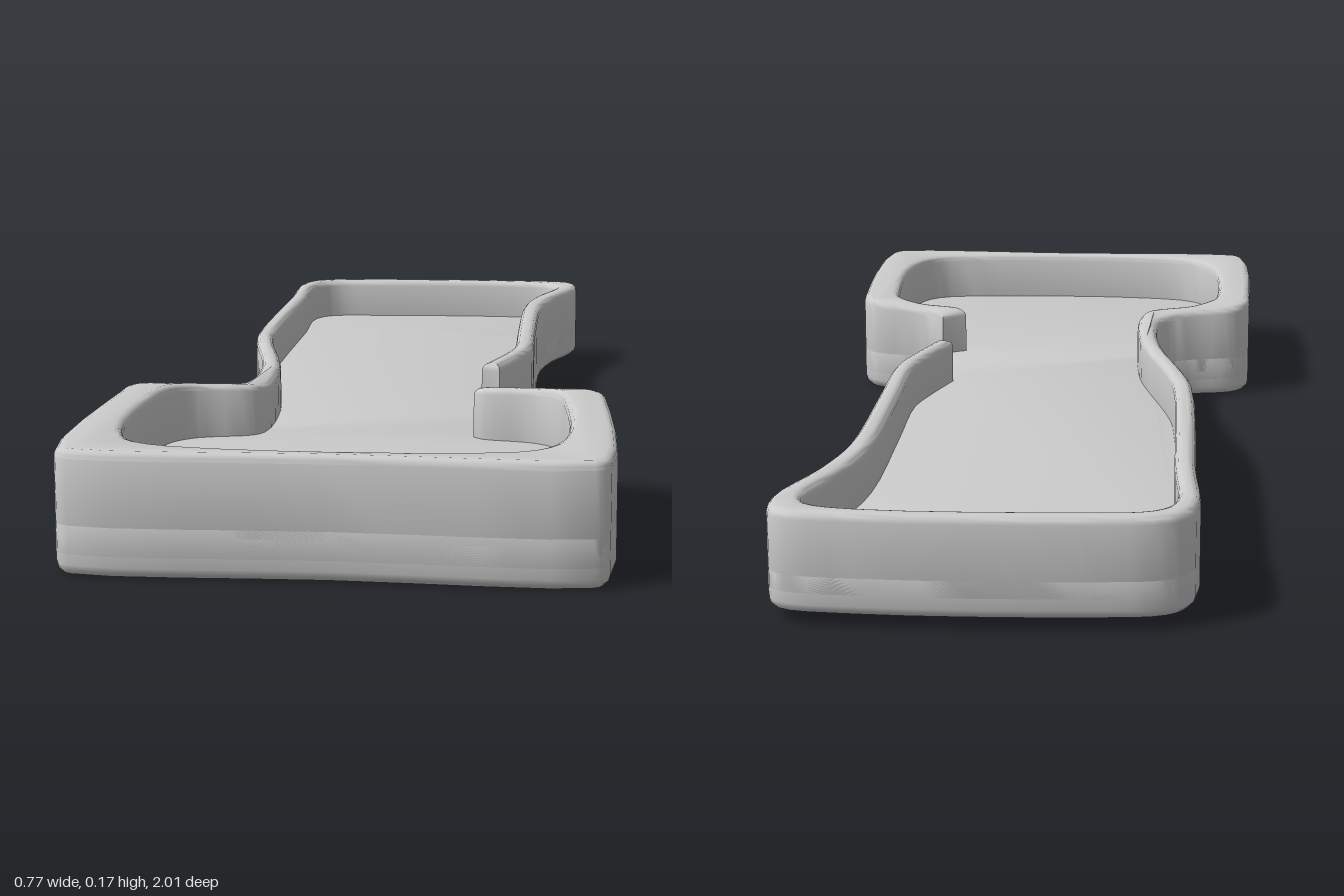
import * as THREE from 'three';
import { toCreasedNormals } from 'three/addons/utils/BufferGeometryUtils.js';

const material = new THREE.MeshStandardMaterial({ color: 0xcccccc, side: THREE.DoubleSide });

// Smooth plan curve through [x, z] points
function smooth(points) {
  const curve = new THREE.CatmullRomCurve3(points.map(([x, z]) => new THREE.Vector3(x, z, 0)));
  return curve.getPoints((points.length - 1) * 4).map((p) => new THREE.Vector2(p.x, p.y));
}

// Plan outline raised from y0 to y1 with rounded edges
function slab(name, outline, y0, y1, bevel, rule) {
  const geo = new THREE.ExtrudeGeometry(new THREE.Shape(outline), {
    depth: y1 - y0 - 2 * bevel,
    bevelThickness: bevel,
    bevelSize: bevel,
    bevelOffset: -bevel,
    bevelSegments: 3,
  });
  geo.rotateX(Math.PI / 2);
  geo.translate(0, y1 - bevel, 0);
  if (rule) {
    const p = geo.attributes.position;
    for (let i = 0; i < p.count; i++) p.setY(i, rule(p.getY(i), p.getZ(i)));
  }
  geo.deleteAttribute('uv');
  const mesh = new THREE.Mesh(toCreasedNormals(geo, 0.75), material);
  mesh.name = name;
  return mesh;
}

export function createModel() {
  const group = new THREE.Group();
  group.name = 'tray';

  // Outer edge, from the handle side of the gap round to its head side
  const outer = smooth([
    [0.2, 0.13], [0.235, 0], [0.25, -0.08], [0.253, -0.3], [0.26, -0.62], [0.285, -0.76],
    [0.328, -0.91], [0.315, -0.975], [0.2, -0.998], [-0.1, -0.998], [-0.22, -0.98],
    [-0.255, -0.93], [-0.257, -0.7], [-0.257, -0.2], [-0.24, -0.08], [-0.213, 0.06],
    [-0.2, 0.17], [-0.2, 0.3], [-0.215, 0.355], [-0.265, 0.388], [-0.34, 0.408],
    [-0.37, 0.445], [-0.377, 0.52], [-0.377, 0.95], [-0.355, 0.977], [0, 0.985],
    [0.355, 0.997], [0.377, 0.97], [0.377, 0.52], [0.37, 0.46], [0.345, 0.422],
    [0.265, 0.392], [0.21, 0.358],
  ]);

  // Inner edge of the rim, running back the other way
  const inner = smooth([
    [0.168, 0.385], [0.185, 0.403], [0.26, 0.425], [0.3, 0.465], [0.313, 0.55], [0.313, 0.82],
    [0.27, 0.915], [0.15, 0.942], [-0.15, 0.938], [-0.27, 0.9], [-0.312, 0.8], [-0.315, 0.55],
    [-0.3, 0.465], [-0.265, 0.425], [-0.185, 0.398], [-0.167, 0.37], [-0.167, 0.17],
    [-0.183, 0.06], [-0.21, -0.08], [-0.226, -0.2], [-0.226, -0.7], [-0.225, -0.905],
    [-0.195, -0.95], [-0.1, -0.963], [0.2, -0.962], [0.27, -0.94], [0.285, -0.9],
    [0.245, -0.75], [0.225, -0.62], [0.22, -0.3], [0.218, -0.08], [0.203, 0], [0.17, 0.125],
  ]);

  // Open edge of the neck across the gap
  const neck = [[0.197, 0.33], [0.193, 0.26], [0.196, 0.18]].map(([x, z]) => new THREE.Vector2(x, z));

  // Floor over the whole length
  group.add(slab('floor', [...outer, ...neck], 0.017, 0.085, 0.014));

  // Deeper underside of the head
  group.add(slab('headBase', outer.filter((p) => p.y > 0.35), 0, 0.075, 0.016));

  // Rim, a little lower along the handle than around the head
  group.add(slab('rim', [...outer, ...inner], 0.035, 0.175, 0.012, (y, z) =>
    y > 0.1 ? y - 0.014 * (1 - THREE.MathUtils.smoothstep(z, 0.34, 0.46)) : y));

  return group;
}
